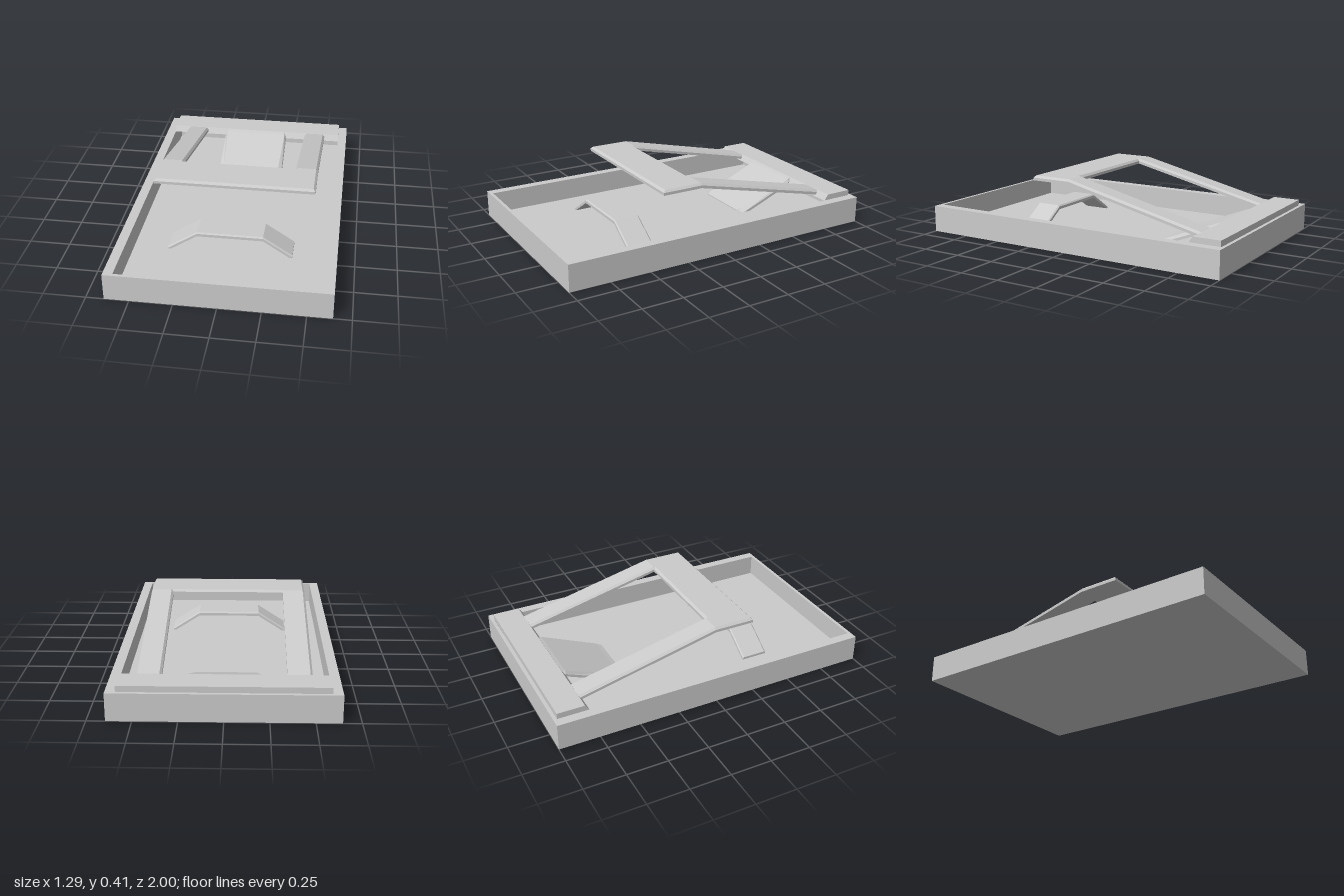
import * as THREE from 'three';

const material = new THREE.MeshStandardMaterial({ color: 0xcccccc, flatShading: true });

function addMesh(group, name, geometry) {
  const mesh = new THREE.Mesh(geometry, material);
  mesh.name = name;
  group.add(mesh);
  return mesh;
}

// Skin a row of equal-sized convex rings of [x, y, z] points and cap both ends
function loft(rings) {
  const tris = [];
  const n = rings[0].length;
  for (let i = 0; i < rings.length - 1; i++) {
    const a = rings[i], b = rings[i + 1];
    for (let j = 0; j < n; j++) {
      const k = (j + 1) % n;
      tris.push([a[j], b[j], b[k]], [a[j], b[k], a[k]]);
    }
  }
  const first = rings[0], last = rings[rings.length - 1];
  for (let j = 1; j < n - 1; j++) {
    tris.push([first[0], first[j], first[j + 1]], [last[0], last[j + 1], last[j]]);
  }
  // Turn the surface outward if its signed volume is negative
  let volume = 0;
  for (const [a, b, c] of tris) {
    volume += new THREE.Vector3(...a).dot(new THREE.Vector3(...b).cross(new THREE.Vector3(...c)));
  }
  const points = tris.flatMap(([a, b, c]) => (volume < 0 ? [a, c, b] : [a, b, c])).flat();
  const geometry = new THREE.BufferGeometry();
  geometry.setAttribute('position', new THREE.Float32BufferAttribute(points, 3));
  geometry.computeVertexNormals();
  return geometry;
}

function rectangle(path, w, d) {
  path.moveTo(-w, -d);
  path.lineTo(w, -d);
  path.lineTo(w, d);
  path.lineTo(-w, d);
  path.closePath();
  return path;
}

// Open tray: a rim with a rectangular opening, and a floor
function buildTray() {
  const tray = new THREE.Group();
  tray.name = 'tray';
  const outline = rectangle(new THREE.Shape(), 0.645, 1);
  outline.holes.push(rectangle(new THREE.Path(), 0.587, 0.98));
  const walls = new THREE.ExtrudeGeometry(outline, { depth: 0.165, bevelEnabled: false });
  walls.rotateX(-Math.PI / 2);
  addMesh(tray, 'trayWalls', walls);
  const floor = new THREE.BoxGeometry(1.174, 0.03, 1.96);
  floor.translate(0, 0.015, 0);
  addMesh(tray, 'trayFloor', floor);
  return tray;
}

// U-shaped frame: level at the front, sloping down to the back plate
function buildFrame() {
  const thick = 0.03, bevel = 0.013;
  const topAt = (z) => (z >= 0.07 ? 0.405 : 0.405 - (0.07 - z) * 0.235);
  // Outer x, outer z, inner x, inner z, and whether the bevel turns a corner
  const half = [
    [-0.49, -0.81, -0.35, -0.81, 0],
    [-0.49, 0.07, -0.35, 0.07, 0],
    [-0.49, 0.325, -0.35, 0.07, 1],
  ];
  const mirrored = half.map(([a, b, c, d, e]) => [-a, b, -c, d, e]).reverse();
  const rings = [...half, ...mirrored].map(([ox, oz, ix, iz, corner]) => {
    const s = Math.sign(ox), dz = corner * bevel, oy = topAt(oz), iy = topAt(iz);
    return [
      [ox, oy - thick, oz],
      [ox, oy - bevel, oz],
      [ox - s * bevel, oy, oz - dz],
      [ix + s * bevel, iy, iz + dz],
      [ix, iy - bevel, iz],
      [ix, iy - thick, iz],
    ];
  });
  return loft(rings);
}

// Back plate with a slanted front face
function buildBackPlate() {
  return loft([-0.587, 0.587].map((x) => [
    [x, 0.163, -0.978], [x, 0.2, -0.978], [x, 0.2, -0.81], [x, 0.163, -0.785],
  ]));
}

// Tongue sloping from the back plate to the tray floor
function buildTongue() {
  // z, half width, bevel, top height
  const stations = [
    [-0.82, 0.2, 0.008, 0.2],
    [-0.785, 0.217, 0.012, 0.19],
    [-0.43, 0.217, 0.03, 0.047],
    [-0.4, 0.185, 0.012, 0.036],
  ];
  return loft(stations.map(([z, w, b, y]) => [
    [-w, y - 0.035, z], [-w, y - 0.018, z], [b - w, y, z],
    [w - b, y, z], [w, y - 0.018, z], [w, y - 0.035, z],
  ]));
}

// Thin arched strip standing on the floor
function buildArch() {
  const path = [[-0.377, 0.045], [-0.2, 0.16], [0.2, 0.16], [0.377, 0.045]];
  return loft(path.map(([x, y]) => [
    [x, y - 0.025, 0.34], [x, y - 0.008, 0.34], [x, y, 0.348],
    [x, y, 0.497], [x, y - 0.008, 0.505], [x, y - 0.025, 0.505],
  ]));
}

export function createModel() {
  const model = new THREE.Group();
  model.name = 'trayWithFrame';
  model.add(buildTray());
  addMesh(model, 'backPlate', buildBackPlate());
  addMesh(model, 'tongue', buildTongue());
  addMesh(model, 'raisedFrame', buildFrame());
  addMesh(model, 'floorArch', buildArch());
  return model;
}
